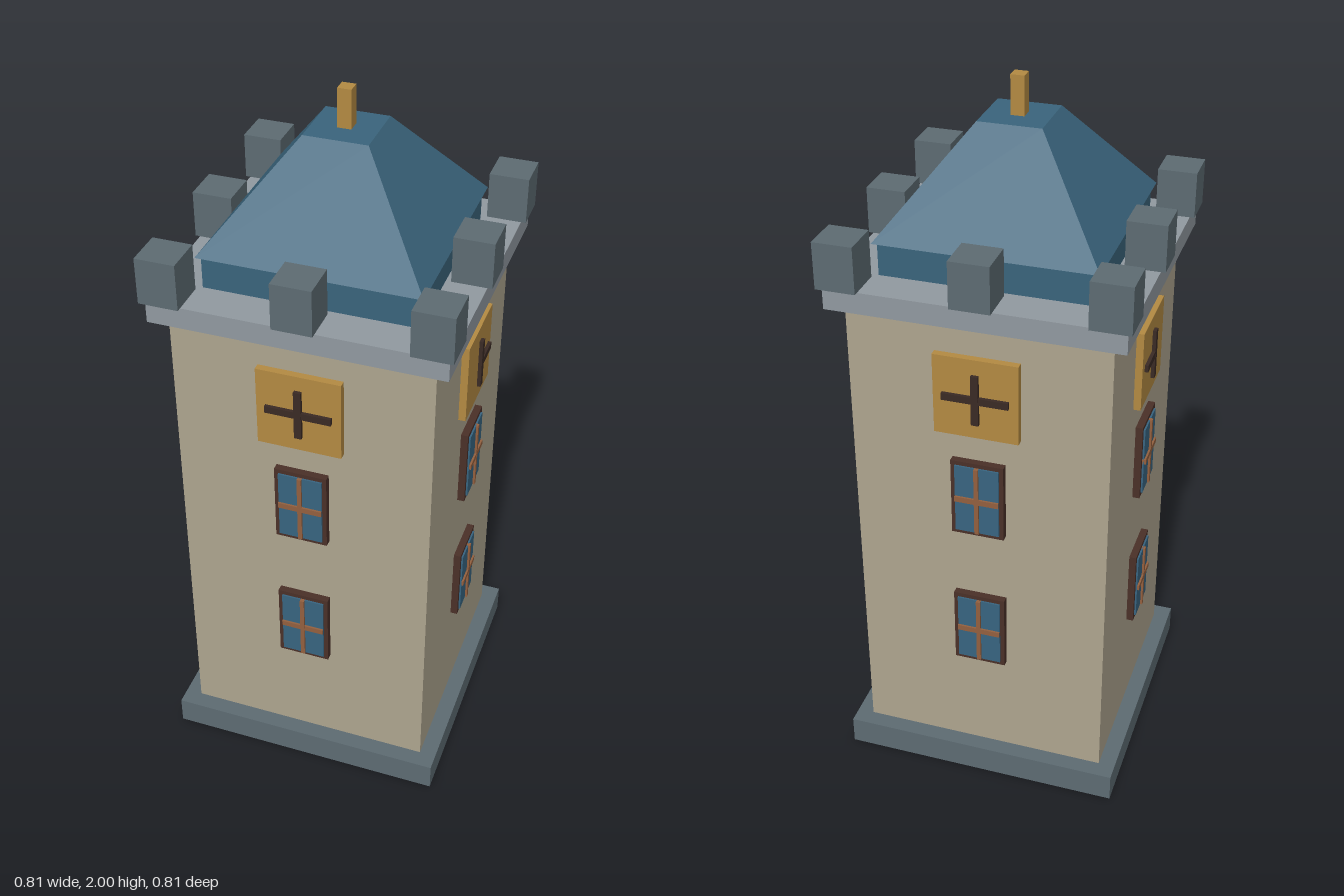
import * as THREE from 'three';

const material = (name, color) => {
  const m = new THREE.MeshStandardMaterial({ color });
  m.name = name;
  return m;
};

export function createModel() {
  const wall = material('sandstone', 0xaea58f);
  const stone = material('darkStone', 0x5d6b72);
  const ledge = material('paleStone', 0x9199a0);
  const slate = material('blueSlate', 0x3a647c);
  const glass = material('blueGlass', 0x386480);
  const gold = material('gold', 0xb38a42);
  const frame = material('darkWood', 0x4a3028);
  const bars = material('brownWood', 0x93603f);
  const iron = material('darkIron', 0x3a2a24);

  const tower = new THREE.Group();
  tower.name = 'tower';

  // Box centred at (x, z), spanning y0..y1 and z0..z1 where given
  const box = (parent, name, mat, w, h, d, x, y, z) => {
    const mesh = new THREE.Mesh(new THREE.BoxGeometry(w, h, d), mat);
    mesh.name = name;
    mesh.position.set(x, y, z);
    parent.add(mesh);
    return mesh;
  };
  const block = (name, mat, w, y0, y1, x = 0, z = 0) =>
    box(tower, name, mat, w, y1 - y0, w, x, (y0 + y1) / 2, z);

  // Main masses
  block('plinth', stone, 0.8, 0, 0.083);
  block('shaft', wall, 0.706, 0.083, 1.475);
  block('cornice', ledge, 0.788, 1.475, 1.535);
  block('roofDrum', slate, 0.57, 1.535, 1.627);

  // Four-sided roof with a flat top
  const roofGeo = new THREE.CylinderGeometry(0.086 * Math.SQRT2, 0.297 * Math.SQRT2, 0.27, 4)
    .rotateY(Math.PI / 4).toNonIndexed();
  roofGeo.computeVertexNormals();
  const roof = new THREE.Mesh(roofGeo, slate);
  roof.name = 'roof';
  roof.position.y = 1.76;
  tower.add(roof);
  block('finial', gold, 0.037, 1.895, 2);

  // Battlements around the rim
  for (const i of [-1, 0, 1]) {
    for (const j of [-1, 0, 1]) {
      if (i || j) block('merlon', stone, 0.108, 1.535, 1.664, i * 0.353, j * 0.353);
    }
  }

  // Layer on a wall, from the wall surface out to a given distance
  const WALL = 0.353;
  const layer = (parent, name, mat, w, h, x, y, out) =>
    box(parent, name, mat, w, h, out - WALL, x, y, (out + WALL) / 2);

  const addWindow = (side, y) => {
    const win = new THREE.Group();
    win.name = 'window';
    layer(win, 'windowFrame', frame, 0.146, 0.23, 0, y, 0.373);
    layer(win, 'windowPane', glass, 0.122, 0.206, 0, y, 0.378);
    layer(win, 'windowMullion', bars, 0.012, 0.206, 0, y, 0.384);
    layer(win, 'windowTransom', bars, 0.122, 0.016, 0, y, 0.3835);
    side.add(win);
  };

  // Windows and clock on each wall: front, +x, back, -x
  for (let k = 0; k < 4; k++) {
    const side = new THREE.Group();
    side.name = ['frontDetails', 'leftDetails', 'backDetails', 'rightDetails'][k];
    side.rotation.y = k * Math.PI / 2;
    addWindow(side, 0.515);
    addWindow(side, 0.955);

    layer(side, 'clockFace', gold, 0.23, 0.23, 0, 1.267, 0.373);
    layer(side, 'clockUprightHand', iron, 0.02, 0.144, 0, 1.267, 0.383);
    // The cross hand is full on front and back, and reaches only to -z on the sides
    const reach = k === 1 ? 1 : k === 3 ? -1 : 0;
    layer(side, 'clockCrossHand', iron, reach ? 0.1 : 0.18, 0.02, reach * 0.04, 1.267, 0.3825);
    tower.add(side);
  }

  return tower;
}
